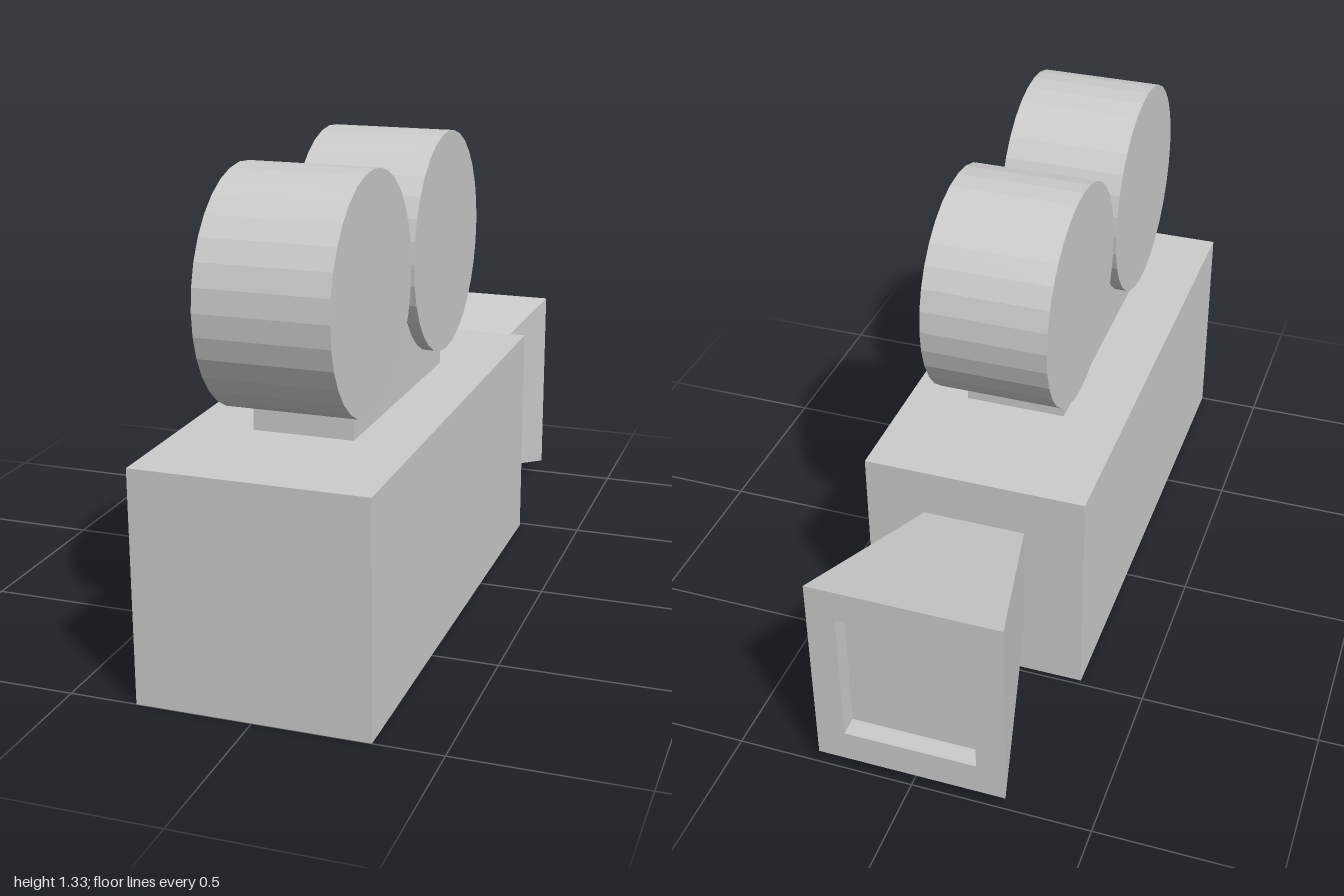
import * as THREE from 'three';

const material = new THREE.MeshStandardMaterial({ color: 0xcccccc, flatShading: true });

function addMesh(group, name, geometry, x = 0, y = 0, z = 0) {
  const mesh = new THREE.Mesh(geometry, material);
  mesh.name = name;
  mesh.position.set(x, y, z);
  group.add(mesh);
  return mesh;
}

// Rectangular rings [z, halfWidth, halfHeight] joined in order, last ring capped
function ringLoft(rings) {
  const positions = [];
  const index = [];
  for (const [z, w, h] of rings) positions.push(-w, -h, z, w, -h, z, w, h, z, -w, h, z);
  for (let r = 0; r < rings.length - 1; r++) {
    for (let i = 0; i < 4; i++) {
      const a = r * 4 + i, b = r * 4 + (i + 1) % 4;
      index.push(a, a + 4, b, b, a + 4, b + 4);
    }
  }
  const e = (rings.length - 1) * 4;
  index.push(e, e + 2, e + 1, e, e + 3, e + 2);
  const indexed = new THREE.BufferGeometry();
  indexed.setAttribute('position', new THREE.Float32BufferAttribute(positions, 3));
  indexed.setIndex(index);
  const geometry = indexed.toNonIndexed();
  geometry.computeVertexNormals();
  return geometry;
}

export function createModel() {
  const group = new THREE.Group();
  group.name = 'movieCamera';

  // Main body
  addMesh(group, 'body', new THREE.BoxGeometry(0.63, 0.635, 1.485), 0, 0.3175, 0.2575);

  // Reel mount, slightly narrower at the front
  const mount = new THREE.BoxGeometry(0.29, 0.31, 0.745);
  const p = mount.attributes.position;
  for (let i = 0; i < p.count; i++) {
    if (p.getZ(i) > 0) p.setX(i, p.getX(i) * 0.95);
  }
  mount.computeVertexNormals();
  addMesh(group, 'reelMount', mount, 0.005, 0.785, 0.26);

  // Two film reels lying on the x axis
  for (const [name, z] of [['frontReel', 0.595], ['rearReel', -0.06]]) {
    const reel = new THREE.CylinderGeometry(0.315, 0.315, 0.354, 32);
    reel.rotateZ(Math.PI / 2);
    addMesh(group, name, reel, 0.006, 1.013, z);
  }

  // Flared lens hood with a shallow recess in its end
  addMesh(group, 'lensHood', ringLoft([
    [-0.485, 0.145, 0.165],
    [-1, 0.265, 0.293],
    [-1, 0.185, 0.2],
    [-0.945, 0.185, 0.2],
  ]), 0, 0.333, 0);

  return group;
}
